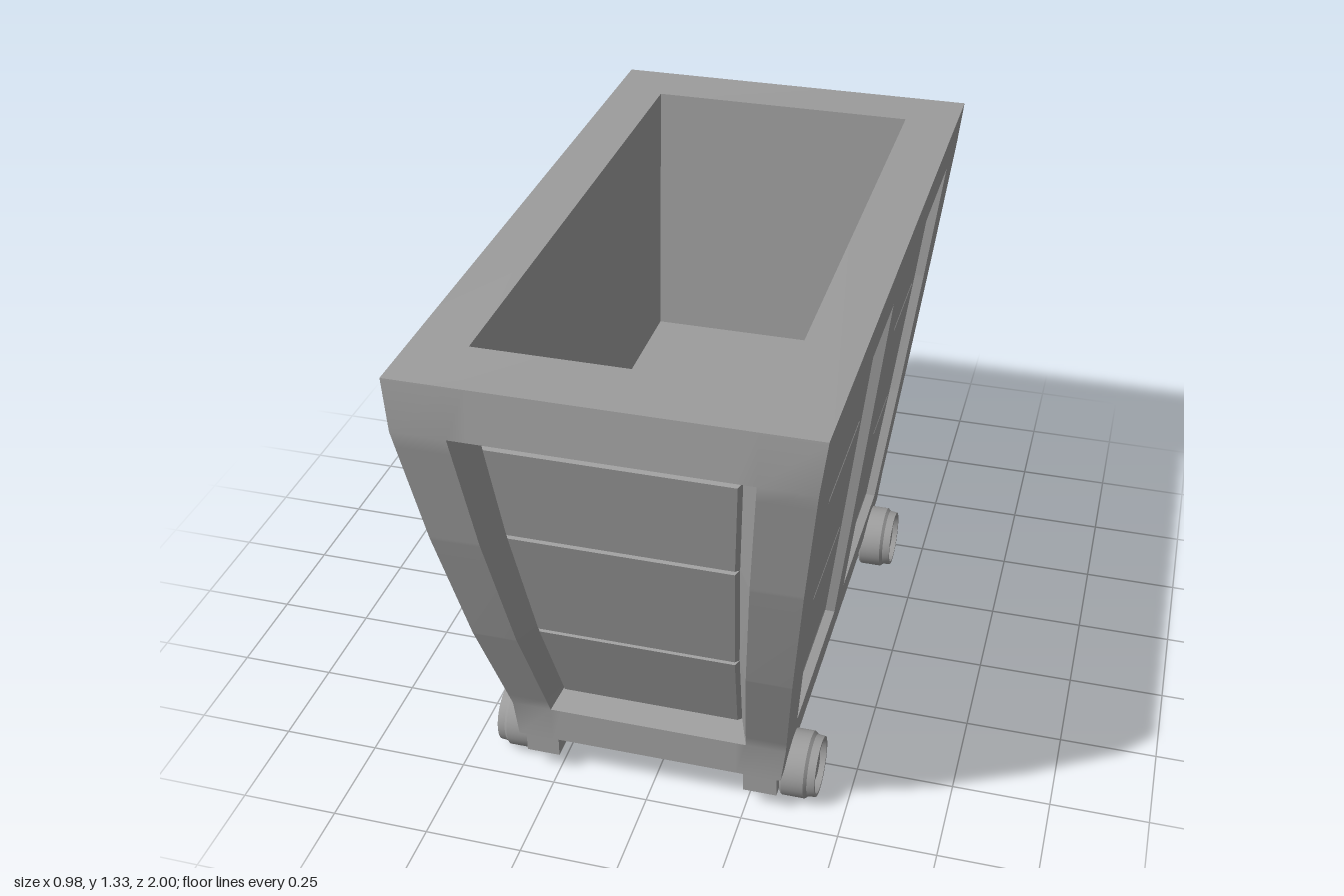
import * as THREE from 'three';
import { toCreasedNormals } from 'three/addons/utils/BufferGeometryUtils.js';

const { lerp, clamp } = THREE.MathUtils;
const material = new THREE.MeshStandardMaterial({ color: 0x9c9c9c });
const BOTTOM = 0.127;
const TOP = 1.325;
const CENTER_Z = 0.09; // the tub is centred a little forward of the origin

// Tub half width and half length by height
const halfWidth = (y) => lerp(0.345, 0.488, (y - BOTTOM) / (TOP - BOTTOM));
const PROFILE = [[BOTTOM, 0.635], [0.225, 0.635], [0.54, 0.755], [0.88, 0.85], [1.2, 0.913], [TOP, 0.899]];
function halfLength(y) {
  let i = 1;
  while (i < PROFILE.length - 1 && y > PROFILE[i][0]) i++;
  const [a, b] = [PROFILE[i - 1], PROFILE[i]];
  return lerp(a[1], b[1], (y - a[0]) / (b[0] - a[0]));
}
const along = (y, low, high) => lerp(low, high, clamp((y - 0.225) / 0.975, 0, 1));

function addMesh(parent, name, geometry, x = 0, y = 0, z = 0) {
  const mesh = new THREE.Mesh(geometry, material);
  mesh.name = name;
  mesh.position.set(x, y, z);
  parent.add(mesh);
  return mesh;
}

function fromQuads(quads) {
  const positions = [];
  for (const [a, b, c, d] of quads) positions.push(...a, ...b, ...c, ...a, ...c, ...d);
  const geometry = new THREE.BufferGeometry();
  geometry.setAttribute('position', new THREE.Float32BufferAttribute(positions, 3));
  return toCreasedNormals(geometry, 0.5);
}

// Joins four-cornered rings and closes the last one
function loft(rings) {
  const quads = [rings[rings.length - 1]];
  for (let i = 0; i < rings.length - 1; i++) {
    for (let k = 0; k < 4; k++) {
      const n = (k + 1) % 4;
      quads.push([rings[i][k], rings[i][n], rings[i + 1][n], rings[i + 1][k]]);
    }
  }
  return fromQuads(quads);
}

// Zones of a wall from the outside in, with how far each is sunk
const [FRAME, LEDGE, GROOVE, BOARD] = [0, 1, 2, 3];
const SUNK = [0, 1, 1.3, 1];

// Framed wall: rows are [y, zone] and columns [u(y), zone]; the outer zone wins where they cross
function framedWall(columns, rows, depth, place) {
  const grid = rows.map(([y, rowZone]) => columns.map(([u, columnZone]) => {
    const zone = Math.min(rowZone, columnZone);
    return { zone, point: place(u(y), y, SUNK[zone] * depth) };
  }));
  const quads = [];
  for (let i = 0; i < grid.length - 1; i++) {
    for (let j = 0; j < columns.length - 1; j++) {
      const corners = [grid[i][j], grid[i][j + 1], grid[i + 1][j + 1], grid[i + 1][j]];
      const [a, b, c, d] = corners.map((corner) => corner.zone);
      if (b + d > a + c) corners.push(corners.shift()); // mitre the corner
      quads.push(corners.map((corner) => corner.point));
    }
  }
  return fromQuads(quads);
}

// Rows with three boards parted by grooves
const boardRows = (low, high) => [
  [low, GROOVE], [low + 0.009, BOARD],
  ...[0.54, 0.88].flatMap((y) => [[y - 0.006, BOARD], [y, GROOVE], [y + 0.006, BOARD]]),
  [high - 0.009, BOARD], [high, GROOVE]];

// Mirrors the right half of the columns to the left
const mirrored = (half) => [
  ...half.slice().reverse().map(([u, zone]) => [(y) => -u(y), zone]), ...half];

function createTub() {
  const tub = new THREE.Group();
  tub.name = 'tub';
  tub.position.z = CENTER_Z;

  // End walls: one panel with a wide sloping border
  const endWall = framedWall(mirrored([
    [(y) => along(y, 0.222, 0.29), BOARD],
    [(y) => along(y, 0.23, 0.298), GROOVE],
    [(y) => along(y, 0.255, 0.342), FRAME],
    [halfWidth, FRAME],
  ]), [
    [BOTTOM, FRAME], [0.225, FRAME], ...boardRows(0.265, 1.155), [1.2, FRAME], [TOP, FRAME],
  ], 0.05, (u, y, d) => [u, y, halfLength(y) - d]);

  // Side walls: two panels with a stepped border
  const sideWall = framedWall(mirrored([
    [(y) => along(y, 0.06, 0.075), FRAME],
    [(y) => along(y, 0.063, 0.078), LEDGE],
    [(y) => along(y, 0.08, 0.108), GROOVE],
    [(y) => along(y, 0.089, 0.117), BOARD],
    [(y) => halfLength(y) - along(y, 0.154, 0.231), BOARD],
    [(y) => halfLength(y) - along(y, 0.145, 0.222), GROOVE],
    [(y) => halfLength(y) - along(y, 0.128, 0.187), LEDGE],
    [(y) => halfLength(y) - along(y, 0.125, 0.184), FRAME],
    [halfLength, FRAME],
  ]), [
    [BOTTOM, FRAME], [0.225, FRAME], [0.228, LEDGE], ...boardRows(0.238, 1.175),
    [1.197, LEDGE], [1.2, FRAME], [TOP, FRAME],
  ], 0.025, (u, y, d) => [halfWidth(y) - d, y, -u]);

  addMesh(tub, 'frontWall', endWall);
  addMesh(tub, 'backWall', endWall).rotation.y = Math.PI;
  addMesh(tub, 'leftWall', sideWall);
  addMesh(tub, 'rightWall', sideWall).rotation.y = Math.PI;

  // Rim, inner walls and inner floor
  const ring = (x, y, z) => [[x, y, z], [x, y, -z], [-x, y, -z], [-x, y, z]];
  addMesh(tub, 'rimAndHollow', loft([
    ring(halfWidth(TOP), TOP, halfLength(TOP)),
    ring(0.35, 1.33, 0.734),
    ring(0.35, 0.62, 0.685),
  ]));
  addMesh(tub, 'underside', new THREE.BoxGeometry(0.688, 0.02, 1.268), 0, BOTTOM + 0.01, 0);
  return tub;
}

function createHitch() {
  const hitch = new THREE.Group();
  hitch.name = 'hitch';
  const ring = (x, low, high, zLow, zHigh = zLow) =>
    [[x, low, zLow], [-x, low, zLow], [-x, high, zHigh], [x, high, zHigh]];

  // Flared bracket growing out of the middle back board
  const base = ring(0.245, 0.545, 0.875, -0.6, -0.695);
  base[2][0] = -0.27;
  base[3][0] = 0.27;
  addMesh(hitch, 'hitchBracket', loft([
    base, ring(0.13, 0.665, 0.755, -0.695, -0.725), ring(0.13, 0.665, 0.755, -0.845)]));
  addMesh(hitch, 'hitchTongue', loft([
    ring(0.115, 0.685, 0.735, -0.84), ring(0.07, 0.685, 0.735, -1)]));
  addMesh(hitch, 'hitchRing', new THREE.TorusGeometry(0.148, 0.011, 10, 40), 0, 0.563, -0.925);
  return hitch;
}

function createWheelGeometry() {
  // Tyre, raised lip, dished face and hub
  const profile = [[0, 0], [0.083, 0], [0.087, 0.005], [0.087, 0.062], [0.08, 0.07], [0.078, 0.09],
    [0.07, 0.09], [0.067, 0.065], [0.037, 0.065], [0.036, 0.08], [0, 0.08]];
  const lathe = new THREE.LatheGeometry(profile.map(([r, h]) => new THREE.Vector2(r, h)), 28);
  return toCreasedNormals(lathe, 0.5);
}

export function createModel() {
  const cart = new THREE.Group();
  cart.name = 'mineCart';
  cart.add(createTub(), createHitch());

  // Undercarriage
  const wheel = createWheelGeometry();
  const rail = new THREE.BoxGeometry(0.087, 0.08, 1.22);
  for (const [side, label] of [[1, 'left'], [-1, 'right']]) {
    addMesh(cart, `${label}Rail`, rail, side * 0.2885, 0.1, 0.1);
    for (const [z, end] of [[0.606, 'Front'], [-0.412, 'Back']]) {
      addMesh(cart, `${label}${end}Wheel`, wheel, side * 0.333, 0.087, z).rotation.z = -side * Math.PI / 2;
    }
  }
  return cart;
}
